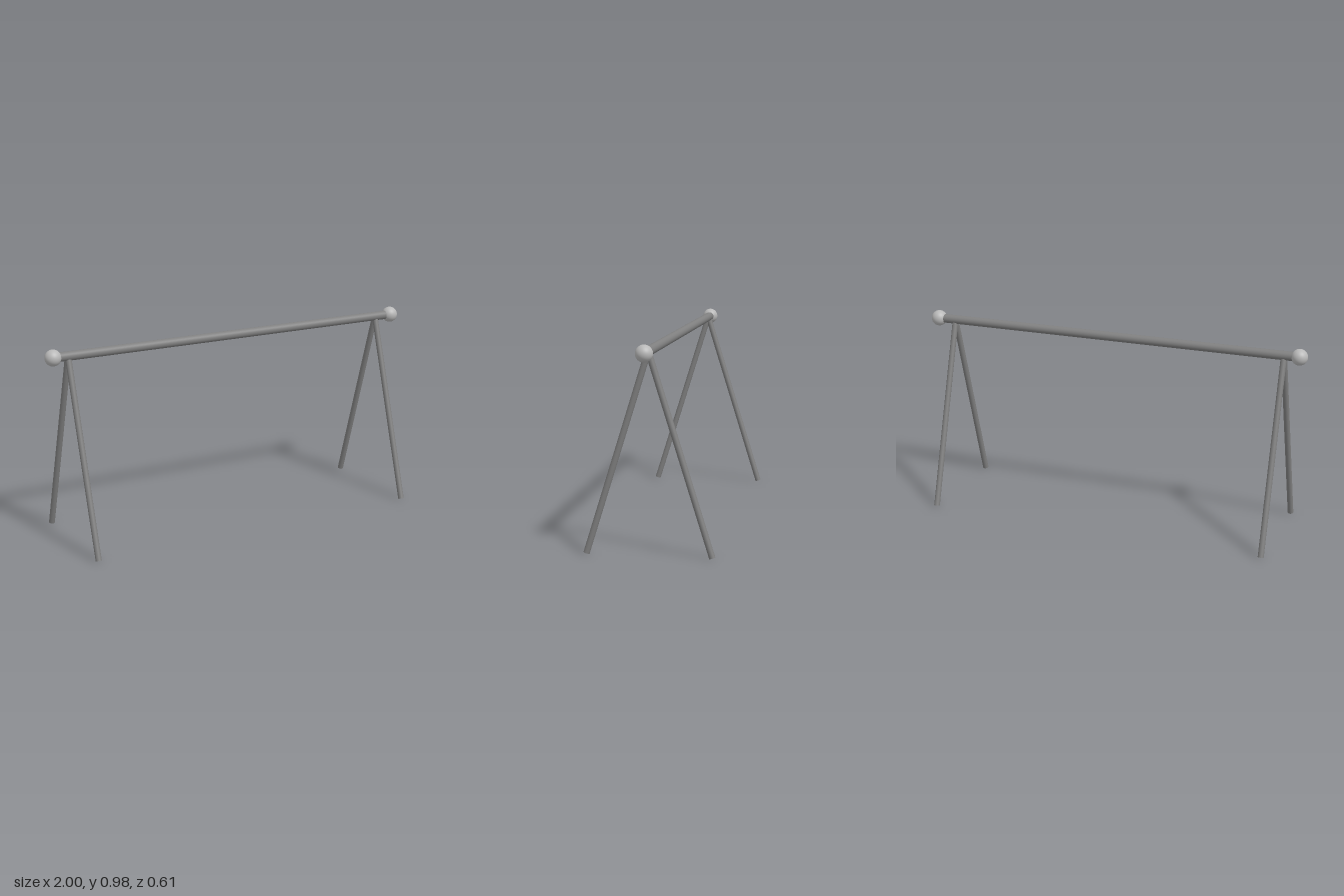
import * as THREE from 'three';

export function createModel() {
  const group = new THREE.Group();
  const steel = new THREE.MeshStandardMaterial({ color: 0x808080 });
  steel.name = 'grey steel';
  const polished = new THREE.MeshStandardMaterial({ color: 0xb8b8b8 });
  polished.name = 'light steel';

  const barY = 0.937;
  const up = new THREE.Vector3(0, 1, 0);

  // Straight round rod between two points
  function rod(name, a, b, radius) {
    const dir = b.clone().sub(a);
    const mesh = new THREE.Mesh(
      new THREE.CylinderGeometry(radius, radius, dir.length(), 32), steel);
    mesh.position.copy(a).add(b).multiplyScalar(0.5);
    mesh.quaternion.setFromUnitVectors(up, dir.normalize());
    mesh.name = name;
    group.add(mesh);
  }

  // Horizontal rail
  rod('rail', new THREE.Vector3(-0.96, barY, 0), new THREE.Vector3(0.96, barY, 0), 0.0225);

  // Splayed leg pairs near each end
  for (const [side, x] of [['right', -0.884], ['left', 0.866]]) {
    for (const [end, z] of [['Front', 0.291], ['Back', -0.291]]) {
      rod(side + end + 'Leg', new THREE.Vector3(x, 0.0043, z), new THREE.Vector3(x, barY, 0), 0.0147);
    }
  }

  // Ball caps on the rail ends
  for (const [side, x] of [['right', -0.96], ['left', 0.96]]) {
    const ball = new THREE.Mesh(new THREE.SphereGeometry(0.04, 32, 24), polished);
    ball.position.set(x, barY, 0);
    ball.name = side + 'EndBall';
    group.add(ball);
  }

  return group;
}
